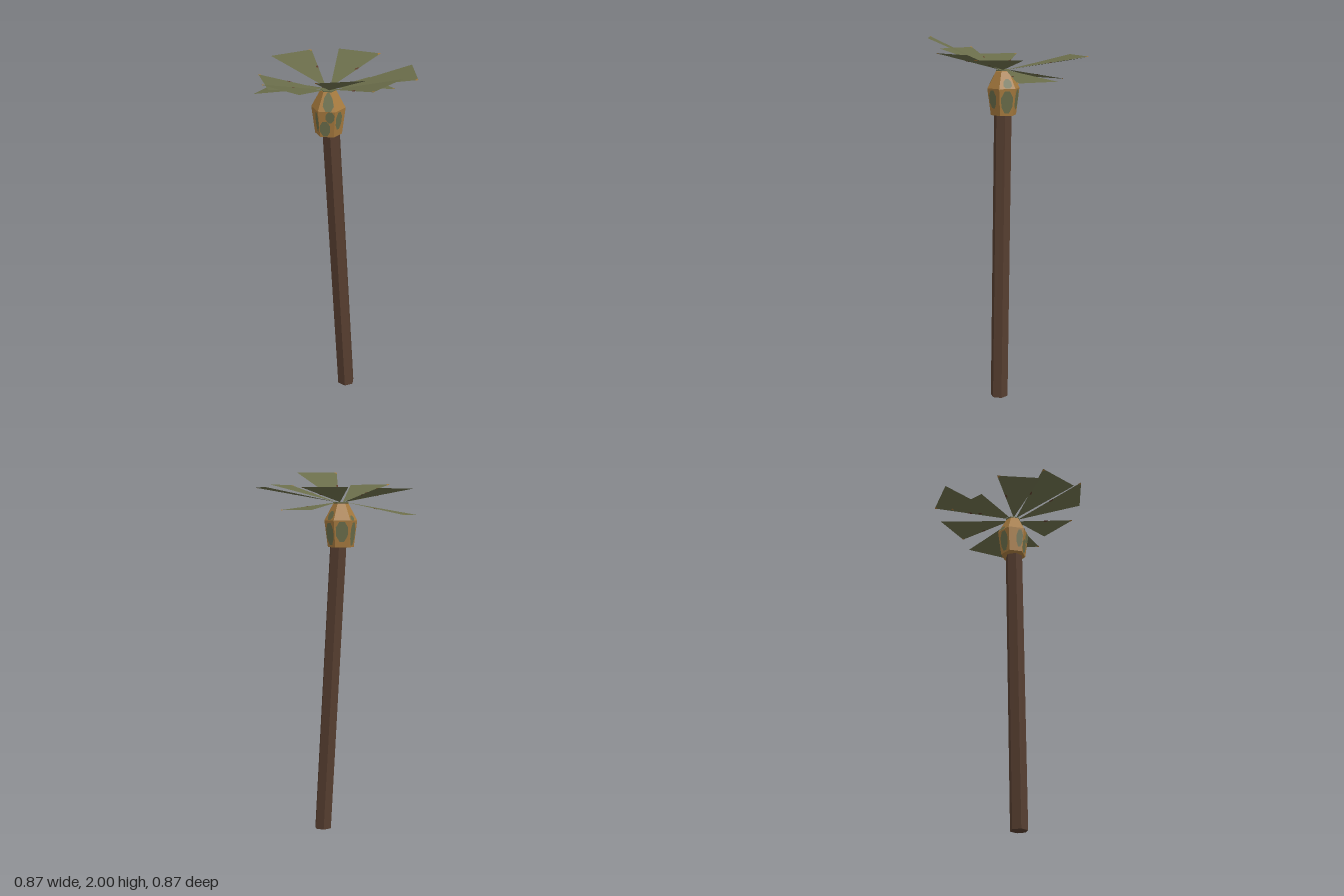
import * as THREE from 'three';

const CX = -0.03, CZ = 0.02; // axis of the crown

const mat = (name, color, side = THREE.FrontSide) => {
  const m = new THREE.MeshStandardMaterial({ color, side, flatShading: true });
  m.name = name;
  return m;
};

function mesh(name, geometry, material) {
  const m = new THREE.Mesh(geometry, material);
  m.name = name;
  return m;
}

// flat convex polygon as a triangle fan
function polygon(points) {
  const tris = [];
  for (let i = 1; i < points.length - 1; i++) tris.push(points[0], points[i], points[i + 1]);
  const g = new THREE.BufferGeometry().setFromPoints(tris);
  g.computeVertexNormals();
  return g;
}

export function createModel() {
  const group = new THREE.Group();
  const bark = mat('bark brown', 0x553d2f);
  const tan = mat('husk tan', 0xa67a3e, THREE.DoubleSide);
  const green = mat('leaf green', 0x6a6d4a, THREE.DoubleSide);
  const spotBrown = mat('spot brown', 0x5c3d2c, THREE.DoubleSide);

  // leaning six-sided trunk
  const trunk = new THREE.CylinderGeometry(0.049, 0.049, 1.62, 6);
  trunk.translate(0, 0.81, 0);
  const p = trunk.attributes.position;
  for (let i = 0; i < p.count; i++) p.setX(i, p.getX(i) + 0.07 - 0.054 * p.getY(i));
  trunk.translate(0, 0, CZ);
  group.add(mesh('trunk', trunk, bark));

  // six-sided husk below the leaves
  const rings = [[0.071, 1.585], [0.09, 1.73], [0.042, 1.82]];
  const profile = [[0, 1.585], ...rings, [0, 1.822]].map(([r, y]) => new THREE.Vector2(r, y));
  const husk = mesh('husk', new THREE.LatheGeometry(profile, 6, Math.PI / 2), tan);
  husk.position.set(CX, 0, CZ);
  group.add(husk);

  // point on husk side k: u across, v 0..1 on the lower band, 1..2 on the upper
  const corner = (k, [r, y]) => new THREE.Vector3(
    CX + (r + 0.002) * Math.cos(k * Math.PI / 3), y, CZ + (r + 0.002) * Math.sin(k * Math.PI / 3));
  function onHusk(k, band, u, v) {
    const low = corner(k, rings[band]).lerp(corner(k + 1, rings[band]), u);
    const high = corner(k, rings[band + 1]).lerp(corner(k + 1, rings[band + 1]), u);
    return low.lerp(high, v);
  }

  // green patches: side, band, u centre, v centre, half width, half height
  const patches = [
    [1, 0, 0.62, 0.32, 0.34, 0.3], [1, 0, 0.3, 0.78, 0.26, 0.22], [1, 1, 0.4, 0.5, 0.38, 0.5],
    [2, 0, 0.25, 0.55, 0.22, 0.38], [3, 0, 0.5, 0.5, 0.34, 0.44], [3, 1, 0.65, 0.15, 0.25, 0.15],
    [4, 0, 0.5, 0.58, 0.4, 0.38], [5, 0, 0.5, 0.5, 0.4, 0.42], [0, 0, 0.6, 0.6, 0.3, 0.34],
    [5, 1, 0.45, 0.3, 0.3, 0.28],
  ];
  for (const [k, band, u, v, w, h] of patches) {
    const ring = [];
    for (let i = 0; i < 8; i++) {
      const a = (i + 0.5) * Math.PI / 4;
      ring.push(onHusk(k, band, u + w * Math.cos(a) * 1.05, v + h * Math.sin(a) * 1.05));
    }
    group.add(mesh('huskPatch', polygon(ring), green));
  }

  // green crown plate
  const crown = new THREE.CylinderGeometry(0.042, 0.042, 0.006, 6);
  crown.rotateY(Math.PI / 2);
  crown.translate(CX, 1.825, CZ);
  group.add(mesh('crown', crown, green));

  // leaves: height of the outer edge, then its two ends (x, z)
  const leaves = [
    [1.90, -0.03, -0.435, 0.205, -0.375],
    [1.785, 0.15, -0.315, 0.305, -0.14],
    [1.905, 0.385, -0.19, 0.43, 0.05],
    [1.925, 0.355, 0.105, 0.225, 0.315],
    [2.0, 0.195, 0.37, -0.04, 0.435],
    [1.93, -0.12, 0.41, -0.33, 0.285],
    [1.895, -0.298, 0.26, -0.39, 0.035],
    [1.76, -0.435, -0.04, -0.335, -0.255],
    [1.895, -0.38, -0.275, -0.18, -0.415],
  ];
  for (const [y, ax, az, bx, bz] of leaves) {
    const a = new THREE.Vector3(ax, y, az), b = new THREE.Vector3(bx, y, bz);
    const root = new THREE.Vector3(CX, 0, CZ);
    const out = a.clone().add(b).multiplyScalar(0.5).sub(root).setY(0).normalize();
    root.addScaledVector(out, 0.025).setY(1.828);
    const leaf = new THREE.Group();
    leaf.name = 'leaf';
    leaf.add(mesh('blade', polygon([root, b, a]), green));

    // withered tip and a brown spot along one edge, on both faces
    const normal = b.clone().sub(root).cross(a.clone().sub(root)).normalize();
    const edge = root.clone().sub(b).normalize();
    const across = a.clone().sub(b).normalize();
    const from = (q, s, t) => q.clone().addScaledVector(edge, s).addScaledVector(across, t);
    const mid = root.clone().lerp(b, 0.53);
    for (const side of [0.0012, -0.0012]) {
      const lift = pts => polygon(pts.map(q => q.addScaledVector(normal, side)));
      leaf.add(mesh('leafTip', lift([from(b, 0, 0), from(b, 0.02, 0), from(b, 0, 0.018)]), tan));
      leaf.add(mesh('leafSpot', lift([from(mid, -0.014, 0), from(mid, 0.014, 0),
        from(mid, 0.01, 0.012), from(mid, -0.008, 0.012)]), spotBrown));
    }
    group.add(leaf);
  }
  return group;
}
